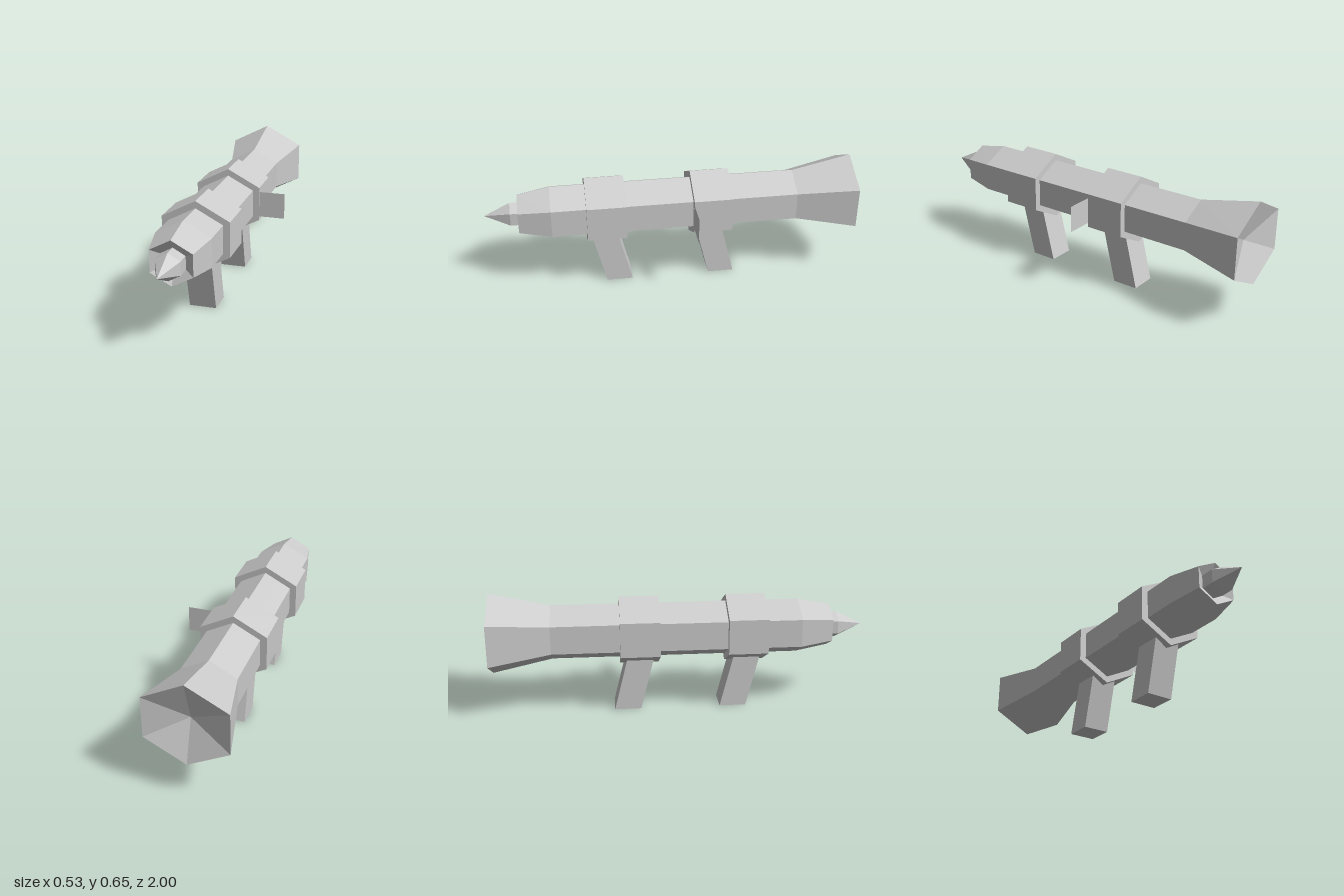
import * as THREE from 'three';

const AXIS_X = -0.055, AXIS_Y = 0.43;

function mesh(name, geometry, side = THREE.FrontSide) {
  const material = new THREE.MeshStandardMaterial({ color: 0xcccccc, flatShading: true, side });
  const m = new THREE.Mesh(geometry, material);
  m.name = name;
  return m;
}

// Six-sided loft along z, rings listed back to front as [z, half width, half height]
function hexLoft(rings) {
  const corners = [[0, 1], [-1, 0.5], [-1, -0.5], [0, -1], [1, -0.5], [1, 0.5]];
  const point = ([z, w, h], j) => {
    const [cx, cy] = corners[j % 6];
    return [AXIS_X + cx * w, AXIS_Y + cy * h, z];
  };
  const positions = [];
  for (let i = 0; i < rings.length - 1; i++) {
    const back = rings[i], front = rings[i + 1];
    for (let j = 0; j < 6; j++) {
      const a = point(back, j), b = point(back, j + 1);
      const c = point(front, j + 1), d = point(front, j);
      if (back[1] > 0) positions.push(...a, ...b, ...c);
      if (back[1] === 0) positions.push(...a, ...c, ...d);
      else if (front[1] > 0) positions.push(...a, ...c, ...d);
    }
  }
  const g = new THREE.BufferGeometry();
  g.setAttribute('position', new THREE.Float32BufferAttribute(positions, 3));
  g.computeVertexNormals();
  return g;
}

// Slanted grip: a box sheared forward with height
function grip(zBottom) {
  const height = 0.33;
  const g = new THREE.BoxGeometry(0.144, height, 0.142);
  g.translate(AXIS_X, height / 2, zBottom);
  const p = g.attributes.position;
  for (let i = 0; i < p.count; i++) p.setZ(i, p.getZ(i) + p.getY(i) * 0.25);
  g.computeVertexNormals();
  return g;
}

export function createModel() {
  const group = new THREE.Group();
  group.name = 'launcher';

  // Barrel with flared, dished exhaust and a hollow tapered muzzle
  group.add(mesh('barrel', hexLoft([
    [-0.928, 0, 0],
    [-1, 0.213, 0.222],
    [-0.68, 0.1425, 0.15],
    [0.645, 0.1425, 0.15],
    [0.818, 0.1075, 0.115],
    [0.75, 0, 0],
  ])));

  // Rocket seated in the muzzle
  group.add(mesh('warhead', hexLoft([
    [0.74, 0, 0],
    [0.74, 0.062, 0.07],
    [0.86, 0.062, 0.07],
    [1, 0, 0],
  ])));

  // Collars and the grips below them
  [['front', 0.25, 0.29], ['rear', -0.32, -0.283]].forEach(([name, z, gripZ]) => {
    group.add(mesh(name + 'Collar', hexLoft([
      [z, 0, 0],
      [z, 0.178, 0.187],
      [z + 0.21, 0.178, 0.187],
      [z + 0.21, 0, 0],
    ])));
    group.add(mesh(name + 'Grip', grip(gripZ)));
  });

  // Flat sight plate on the left side
  const sight = mesh('sightPlate', new THREE.PlaneGeometry(0.142, 0.142), THREE.DoubleSide);
  sight.position.set(0.195, 0.43, -0.11);
  group.add(sight);

  return group;
}
